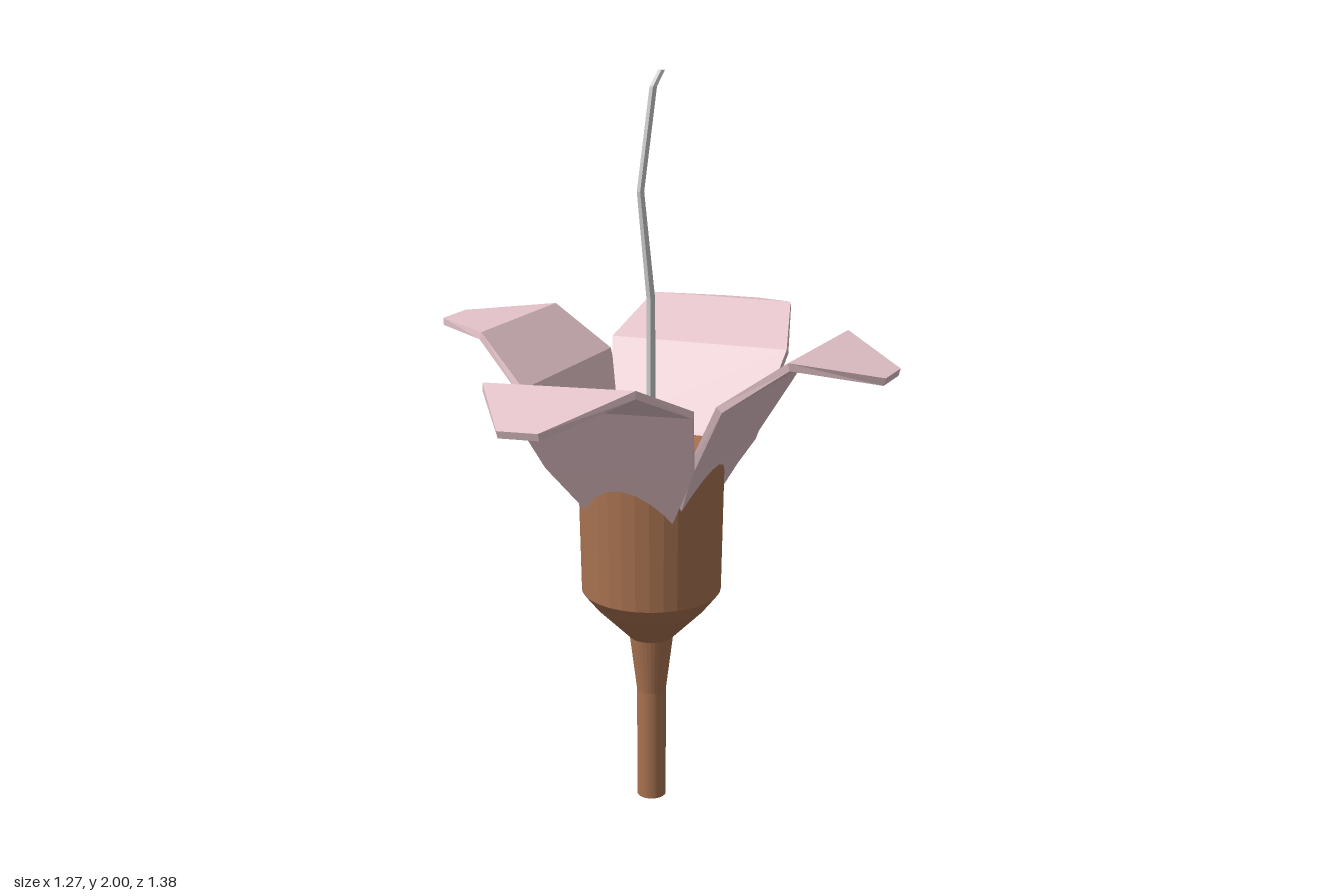
import * as THREE from 'three';

const mat = (color) => new THREE.MeshStandardMaterial({ color, flatShading: true });

// Skin a list of equal-sized rings of points and close both ends
function loft(rings, material, name) {
  const n = rings[0].length;
  const points = [];
  const index = [];
  rings.forEach((r) => r.forEach((p) => points.push(...p)));
  for (let i = 0; i < rings.length - 1; i++) {
    for (let j = 0; j < n; j++) {
      const a = i * n + j, b = i * n + (j + 1) % n;
      index.push(a, b, b + n, a, b + n, a + n);
    }
  }
  const end = (rings.length - 1) * n;
  for (let j = 1; j < n - 1; j++) {
    index.push(0, j + 1, j, end, end + j, end + j + 1);
  }
  const g = new THREE.BufferGeometry();
  g.setAttribute('position', new THREE.Float32BufferAttribute(points, 3));
  g.setIndex(index);
  const flat = g.toNonIndexed();
  flat.computeVertexNormals();
  const mesh = new THREE.Mesh(flat, material);
  mesh.name = name;
  return mesh;
}

// Petal growing along +z; sections are [distance, height, side from, side to]
function petal(sections, yaw, roll, angle, material, name) {
  const thick = 0.02;
  const rings = sections.map(([d, y, w0, w1], i) => {
    const p = sections[Math.max(i - 1, 0)];
    const q = sections[Math.min(i + 1, sections.length - 1)];
    const len = Math.hypot(q[0] - p[0], q[1] - p[1]);
    const nz = (q[1] - p[1]) / len * thick;
    const ny = -(q[0] - p[0]) / len * thick;
    const mid = (w0 + w1) / 2;
    const at = (w, k) => [w, y + roll * (w - mid) + ny * k, d + yaw * (w - mid) + nz * k];
    return [at(w0, 1), at(w1, 1), at(w1, 0), at(w0, 0)];
  });
  const mesh = loft(rings, material, name);
  mesh.rotation.y = angle;
  return mesh;
}

export function createModel() {
  const group = new THREE.Group();
  const brown = mat(0xa87250);
  const pink = mat(0xe2c2c8);
  const grey = mat(0xcccccc);

  // Stem and cup turned as one piece
  const profile = [[0, 0], [0.04, 0], [0.04, 0.32], [0.06, 0.48], [0.15, 0.57],
    [0.19, 0.62], [0.197, 1.01], [0, 1.01]].map(([r, y]) => new THREE.Vector2(r, y));
  const cup = new THREE.Mesh(new THREE.LatheGeometry(profile, 32), brown);
  cup.name = 'stemAndCup';
  cup.position.set(-0.032, 0, -0.013);
  group.add(cup);

  // Four petals, each bent outward and down at the tip
  group.add(petal([
    [0.05, 0.76, -0.08, 0.03], [0.2, 1.02, -0.235, 0.185], [0.31, 1.21, -0.285, 0.23],
    [0.495, 1.3, -0.255, 0.16], [0.685, 1.235, -0.11, 0],
  ], 0.04, 0.06, 0, pink, 'frontPetal'));
  group.add(petal([
    [0.06, 0.76, -0.03, 0.08], [0.2, 1.02, -0.185, 0.235], [0.325, 1.24, -0.23, 0.285],
    [0.495, 1.34, -0.18, 0.235], [0.69, 1.305, -0.02, 0.09],
  ], -0.05, 0, Math.PI, pink, 'backPetal'));
  group.add(petal([
    [0.03, 0.76, -0.04, 0.08], [0.155, 1.02, -0.18, 0.22], [0.265, 1.22, -0.24, 0.28],
    [0.435, 1.34, -0.21, 0.21], [0.63, 1.29, -0.065, 0.05],
  ], 0.04, 0, Math.PI / 2, pink, 'leftPetal'));
  group.add(petal([
    [0.13, 0.77, -0.09, 0.03], [0.21, 1.02, -0.23, 0.18], [0.28, 1.21, -0.29, 0.235],
    [0.43, 1.335, -0.245, 0.18], [0.64, 1.325, -0.1, 0.02],
  ], 0, 0, -Math.PI / 2, pink, 'rightPetal'));

  // Bent thread rising from the cup
  const path = [[-0.035, 0.98, -0.02], [-0.035, 1.42, -0.02], [-0.05, 1.7, 0.01],
    [-0.032, 1.96, -0.03], [-0.02, 2, -0.055]];
  const radii = [0.013, 0.012, 0.01, 0.01, 0.009];
  group.add(loft(path.map(([x, y, z], i) => Array.from({ length: 5 }, (_, k) => {
    const a = k / 5 * Math.PI * 2;
    return [x + Math.cos(a) * radii[i], y, z - Math.sin(a) * radii[i]];
  })), grey, 'stamen'));

  return group;
}
